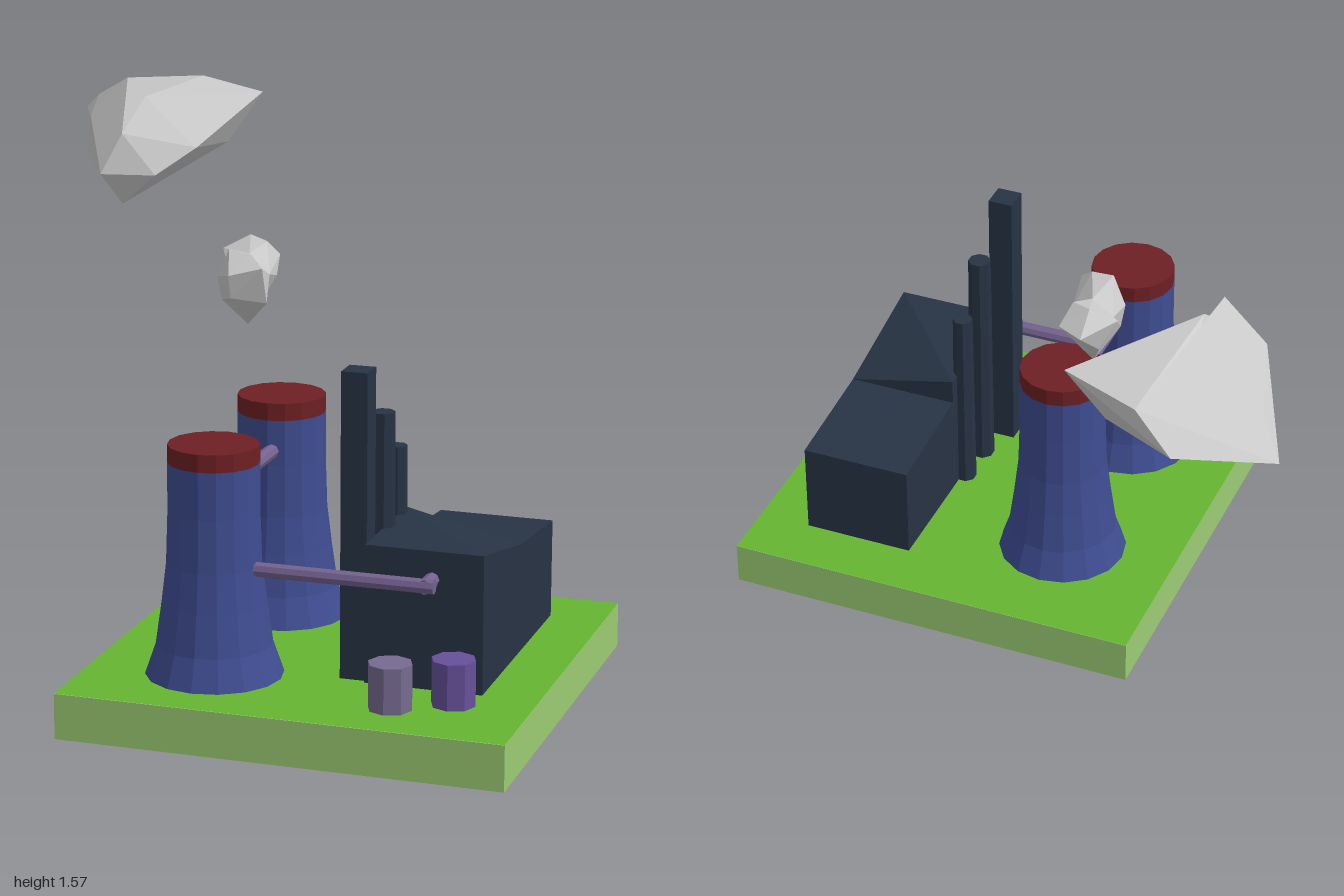
import * as THREE from 'three';
import { ConvexGeometry } from 'three/addons/geometries/ConvexGeometry.js';

const GROUND = 0.13;

function mat(color) {
  return new THREE.MeshStandardMaterial({ color, flatShading: true });
}
const blue = mat(0x3f4d92), red = mat(0x6e2024), slate = mat(0x273344);
const pipeMat = mat(0x74628f), grey = mat(0xcccccc);

export function createModel() {
  const model = new THREE.Group();

  function add(name, geometry, material, x = 0, y = 0, z = 0, parent = model) {
    const mesh = new THREE.Mesh(geometry, material);
    mesh.name = name;
    mesh.position.set(x, y, z);
    parent.add(mesh);
    return mesh;
  }
  const hull = (points) => new ConvexGeometry(points.map((p) => new THREE.Vector3(...p)));

  // straight round pipe between two points
  function pipe(name, a, b, radius = 0.021) {
    const from = new THREE.Vector3(...a), to = new THREE.Vector3(...b);
    const dir = to.clone().sub(from);
    const mid = from.clone().add(to).multiplyScalar(0.5);
    const mesh = add(name, new THREE.CylinderGeometry(radius, radius, dir.length(), 8), pipeMat, mid.x, mid.y, mid.z);
    mesh.quaternion.setFromUnitVectors(new THREE.Vector3(0, 1, 0), dir.normalize());
  }

  // ground slab with a darker lawn on top
  add('groundSlab', new THREE.BoxGeometry(1.265, GROUND, 1.27), mat(0x9ccc74), 0.317, GROUND / 2, 0.365);
  const lawn = add('lawn', new THREE.PlaneGeometry(1.265, 1.27), mat(0x66b432), 0.317, GROUND + 0.001, 0.365);
  lawn.rotation.x = -Math.PI / 2;

  // cooling towers with red caps
  const profile = [[0, 0.13], [0.193, 0.13], [0.162, 0.22], [0.145, 0.34], [0.132, 0.45], [0.127, 0.6], [0.127, 0.735]]
    .map((p) => new THREE.Vector2(...p));
  for (const z of [0.69, 0.112]) {
    const tower = new THREE.Group();
    tower.name = 'coolingTower';
    tower.position.set(0.037, 0, z);
    model.add(tower);
    add('towerShell', new THREE.LatheGeometry(profile, 16), blue, 0, 0, 0, tower);
    add('towerCap', new THREE.CylinderGeometry(0.127, 0.127, 0.05, 16), red, 0, 0.76, 0, tower);
  }

  // main hall: front block with a folded roof, lower sloping block behind
  const x0 = 0.455, x1 = 0.79;
  const footprint = (z0, z1) => [[x0, GROUND, z0], [x1, GROUND, z0], [x0, GROUND, z1], [x1, GROUND, z1]];
  add('frontHall', hull([...footprint(0.255, 0.645),
    [x0, 0.525, 0.645], [x1, 0.525, 0.645], [x0, 0.525, 0.255], [x1, 0.447, 0.255]]), slate);
  add('rearHall', hull([...footprint(-0.097, 0.255),
    [x0, 0.447, 0.255], [x1, 0.447, 0.255], [x0, 0.417, -0.097], [x1, 0.417, -0.097]]), slate);

  // row of chimneys along the hall
  add('tallChimney', new THREE.BoxGeometry(0.075, 1 - GROUND, 0.078), slate, 0.418, (1 + GROUND) / 2, 0.592);
  for (const [top, z, r] of [[0.85, 0.452, 0.034], [0.72, 0.318, 0.03]]) {
    const g = new THREE.CylinderGeometry(r, r + 0.004, top - GROUND, 8);
    g.rotateY(Math.PI / 8);
    add('chimney', g, slate, 0.445, (top + GROUND) / 2, z);
  }

  // pipes: tower to tower, tower to hall
  pipe('towerPipe', [0.048, 0.645, 0.2], [0.048, 0.645, 0.6]);
  pipe('hallPipe', [0.15, 0.445, 0.707], [0.67, 0.445, 0.707]);
  pipe('hallPipeElbow', [0.645, 0.445, 0.72], [0.645, 0.445, 0.63]);

  // storage tanks
  for (const [x, z, color] of [[0.583, 0.822, 0x766a90], [0.735, 0.737, 0x67509a]]) {
    add('storageTank', new THREE.CylinderGeometry(0.062, 0.062, 0.13, 8), mat(color), x, 0.195, z);
  }

  // small smoke puff: two lobes sharing a waist
  const waist = [[-0.115, 0.945, -0.03], [-0.045, 1.1, -0.02], [-0.17, 1.1, -0.02], [-0.11, 1.155, -0.03]];
  const smallPuff = new THREE.Group();
  smallPuff.name = 'smallSmokePuff';
  model.add(smallPuff);
  add('rearLobe', hull([...waist, [-0.14, 1.13, -0.2], [-0.06, 1.13, -0.16], [-0.215, 1.15, -0.1], [-0.14, 1.19, -0.13],
    [-0.08, 1.18, -0.1], [-0.05, 1.08, -0.1], [-0.17, 1.06, -0.13]]), grey, 0, 0, 0, smallPuff);
  add('frontLobe', hull([...waist, [-0.12, 1.12, 0.125], [-0.03, 1.14, 0.09], [-0.14, 1.185, 0.06], [-0.07, 1.175, 0.07],
    [-0.18, 1.1, 0.05], [-0.03, 1.03, 0.05], [-0.17, 1.03, 0.04], [-0.12, 1.05, 0.105]]), grey, 0, 0, 0, smallPuff);

  // large smoke puff: left and right lobes sharing the crease, tip and underside
  const core = [[-0.65, 1.195, -0.41], [-0.685, 1.3, -0.32], [-0.7, 1.43, -1], [-0.58, 1.51, -0.94], [-0.63, 1.42, -0.36]];
  const largePuff = new THREE.Group();
  largePuff.name = 'largeSmokePuff';
  model.add(largePuff);
  add('leftLobe', hull([...core, [-0.65, 1.573, -0.465], [-0.95, 1.4, -0.88], [-0.87, 1.46, -0.78],
    [-0.85, 1.31, -0.63], [-0.77, 1.45, -0.46]]), grey, 0, 0, 0, largePuff);
  add('rightLobe', hull([...core, [-0.6, 1.515, -0.48], [-0.34, 1.49, -0.82], [-0.44, 1.335, -0.78],
    [-0.45, 1.36, -0.52], [-0.54, 1.29, -0.4]]), grey, 0, 0, 0, largePuff);

  return model;
}
